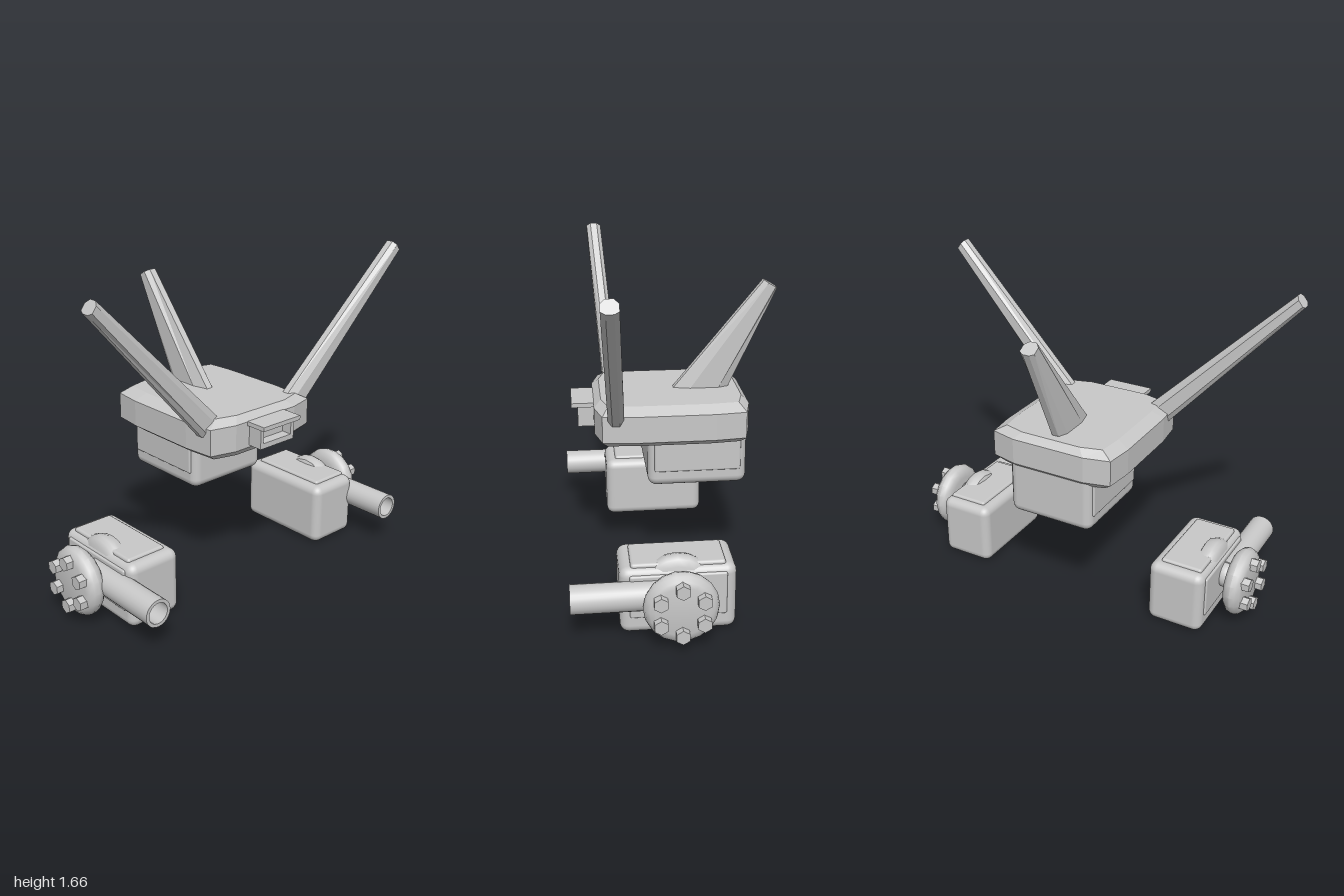
import * as THREE from 'three';
import { toCreasedNormals } from 'three/addons/utils/BufferGeometryUtils.js';
import { RoundedBoxGeometry } from 'three/addons/geometries/RoundedBoxGeometry.js';

const grey = new THREE.MeshStandardMaterial({ color: 0xc8c8c8 });
grey.name = 'light grey';

function add(parent, name, geometry, x = 0, y = 0, z = 0) {
  const mesh = new THREE.Mesh(geometry, grey);
  mesh.name = name;
  mesh.position.set(x, y, z);
  parent.add(mesh);
  return mesh;
}

// Flat-shaded solid through convex rings of equal point count, capped at both ends
function loft(rings) {
  const tris = [];
  const n = rings[0].length;
  for (let r = 0; r + 1 < rings.length; r++) {
    for (let i = 0; i < n; i++) {
      const j = (i + 1) % n;
      const a = rings[r][i], b = rings[r][j], c = rings[r + 1][j], d = rings[r + 1][i];
      tris.push([a, b, c], [a, c, d]);
    }
  }
  const end = rings[rings.length - 1];
  for (let i = 1; i + 1 < n; i++) {
    tris.push([rings[0][0], rings[0][i + 1], rings[0][i]], [end[0], end[i], end[i + 1]]);
  }
  // Turn the faces outward whichever way the rings run
  let volume = 0;
  const cross = new THREE.Vector3();
  for (const [a, b, c] of tris) volume += cross.crossVectors(b, c).dot(a);
  if (volume < 0) tris.forEach((t) => t.reverse());
  const geometry = new THREE.BufferGeometry().setFromPoints(tris.flat());
  geometry.computeVertexNormals();
  return geometry;
}

// Tapered blade with chamfered edges; each end is [edgeA, edgeB], thickness runs along side
function blade(base, tip, side) {
  const section = [[0, -0.018], [0, 0.018], [0.3, 0.04], [0.82, 0.04],
    [1, 0.018], [1, -0.018], [0.82, -0.04], [0.3, -0.04]];
  const ring = ([a, b]) => section.map(([t, w]) => a.clone().lerp(b, t).addScaledVector(side, w));
  return loft([ring(base), ring(tip)]);
}

// Turned part, lying along the x axis and facing the given side
function turned(profile, segments, s) {
  const points = profile.map(([r, h]) => new THREE.Vector2(r, h));
  const geometry = toCreasedNormals(new THREE.LatheGeometry(points, segments), 0.7);
  return geometry.rotateZ(-s * Math.PI / 2);
}

function createGun(s) {
  const gun = new THREE.Group();
  gun.name = s > 0 ? 'leftGun' : 'rightGun';
  const cy = 0.203, cz = 0.037;

  // Housing with raised panels on top and outer side
  add(gun, 'housing', new RoundedBoxGeometry(0.298, 0.34, 0.555, 3, 0.045), s * 0.644, 0.17, 0.037);
  add(gun, 'topPanel', new RoundedBoxGeometry(0.22, 0.04, 0.45, 2, 0.014), s * 0.655, 0.334, 0.035);
  add(gun, 'sidePanel', new RoundedBoxGeometry(0.03, 0.22, 0.46, 2, 0.01), s * 0.787, 0.2, 0.037);

  // Mount disc sunk in the housing, with a ball joint
  add(gun, 'mountDisc', turned([[0, -0.055], [0.14, -0.055], [0.17, -0.04], [0.181, -0.01],
    [0.181, 0.015], [0.17, 0.035], [0.14, 0.05], [0, 0.05]], 20, s), s * 0.735, cy, cz);
  add(gun, 'ballJoint', new THREE.SphereGeometry(0.068, 20, 14), s * 0.815, 0.215, cz);
  const neck = add(gun, 'neck', new THREE.CylinderGeometry(0.05, 0.05, 0.1, 16), s * 0.82, cy, cz);
  neck.rotation.z = Math.PI / 2;

  // Hollow barrel
  const bore = [[0, 0], [0.07, 0], [0.07, 0.508], [0.053, 0.508], [0.053, 0.2], [0, 0.2]];
  const barrel = toCreasedNormals(
    new THREE.LatheGeometry(bore.map(([r, h]) => new THREE.Vector2(r, h)), 24), 0.7);
  add(gun, 'barrel', barrel.rotateX(Math.PI / 2), s * 0.815, 0.219, 0.037);

  // Drum with a ring of six bolts
  add(gun, 'drum', turned([[0, -0.05], [0.115, -0.05], [0.15, -0.044], [0.17, -0.025], [0.178, 0],
    [0.17, 0.025], [0.15, 0.044], [0.125, 0.05], [0, 0.05]], 18, s), s * 0.9, cy, cz);
  for (let i = 0; i < 6; i++) {
    const a = Math.PI / 2 + i * Math.PI / 3;
    const geometry = new THREE.CylinderGeometry(0.036, 0.036, 0.06, 6).toNonIndexed();
    geometry.computeVertexNormals();
    geometry.rotateY(Math.PI / 2).rotateZ(-s * Math.PI / 2);
    add(gun, 'bolt', geometry, s * 0.955, cy + 0.115 * Math.sin(a), cz + 0.115 * Math.cos(a));
  }
  return gun;
}

export function createModel() {
  const model = new THREE.Group();
  model.name = 'antennaCraft';
  const v = (x, y, z) => new THREE.Vector3(x, y, z);

  // Hull plate with bevelled top and bottom edges
  const half = [[0.2, 0.395], [0.335, 0.36], [0.352, 0.2], [0.352, -0.2], [0.335, -0.352], [0.2, -0.385]];
  const outline = [...half, ...half.map(([x, z]) => [-x, z]).reverse()];
  const layers = [[0.76, 0.87], [0.793, 1], [0.928, 1], [0.962, 0.82]];
  add(model, 'hull', loft(layers.map(([y, k]) =>
    outline.map(([x, z]) => v(x * k, y, z * (k + 1) / 2)))));

  // Belly pod with side and back panels
  add(model, 'bellyPod', new RoundedBoxGeometry(0.47, 0.38, 0.505, 3, 0.045), 0, 0.693, -0.123);
  for (const s of [1, -1]) {
    add(model, 'podSidePanel', new RoundedBoxGeometry(0.03, 0.24, 0.44, 2, 0.01), s * 0.228, 0.705, -0.123);
  }

  // Nose box with a recessed opening under a small roof
  const nose = new THREE.Group();
  nose.name = 'nose';
  model.add(nose);
  add(nose, 'noseRoof', new THREE.BoxGeometry(0.25, 0.022, 0.14), 0, 0.919, 0.437);
  const rect = (T, w, y0, y1) => new T([[-w, y0], [w, y0], [w, y1], [-w, y1]]
    .map(([x, y]) => new THREE.Vector2(x, y)));
  const frame = rect(THREE.Shape, 0.113, 0.803, 0.91);
  frame.holes.push(rect(THREE.Path, 0.093, 0.83, 0.905));
  add(nose, 'noseFrame', new THREE.ExtrudeGeometry(frame, { depth: 0.1, bevelEnabled: false }), 0, 0, 0.375);
  add(nose, 'noseBack', new THREE.BoxGeometry(0.2, 0.09, 0.04), 0, 0.86, 0.4);

  // Two raked front arms and the rear fin
  for (const s of [1, -1]) {
    add(model, s > 0 ? 'leftArm' : 'rightArm', blade(
      [v(s * 0.2, 0.92, 0.285), v(s * 0.345, 0.88, 0.293)],
      [v(s * 0.955, 1.66, 0.34), v(s * 0.997, 1.605, 0.34)], v(0, 0, 1)));
  }
  add(model, 'rearFin', blade(
    [v(0, 0.93, 0.005), v(0, 0.93, -0.29)],
    [v(0, 1.515, -0.48), v(0, 1.475, -0.548)], v(1, 0, 0)));

  // Detached side guns
  for (const s of [1, -1]) model.add(createGun(s));
  return model;
}
